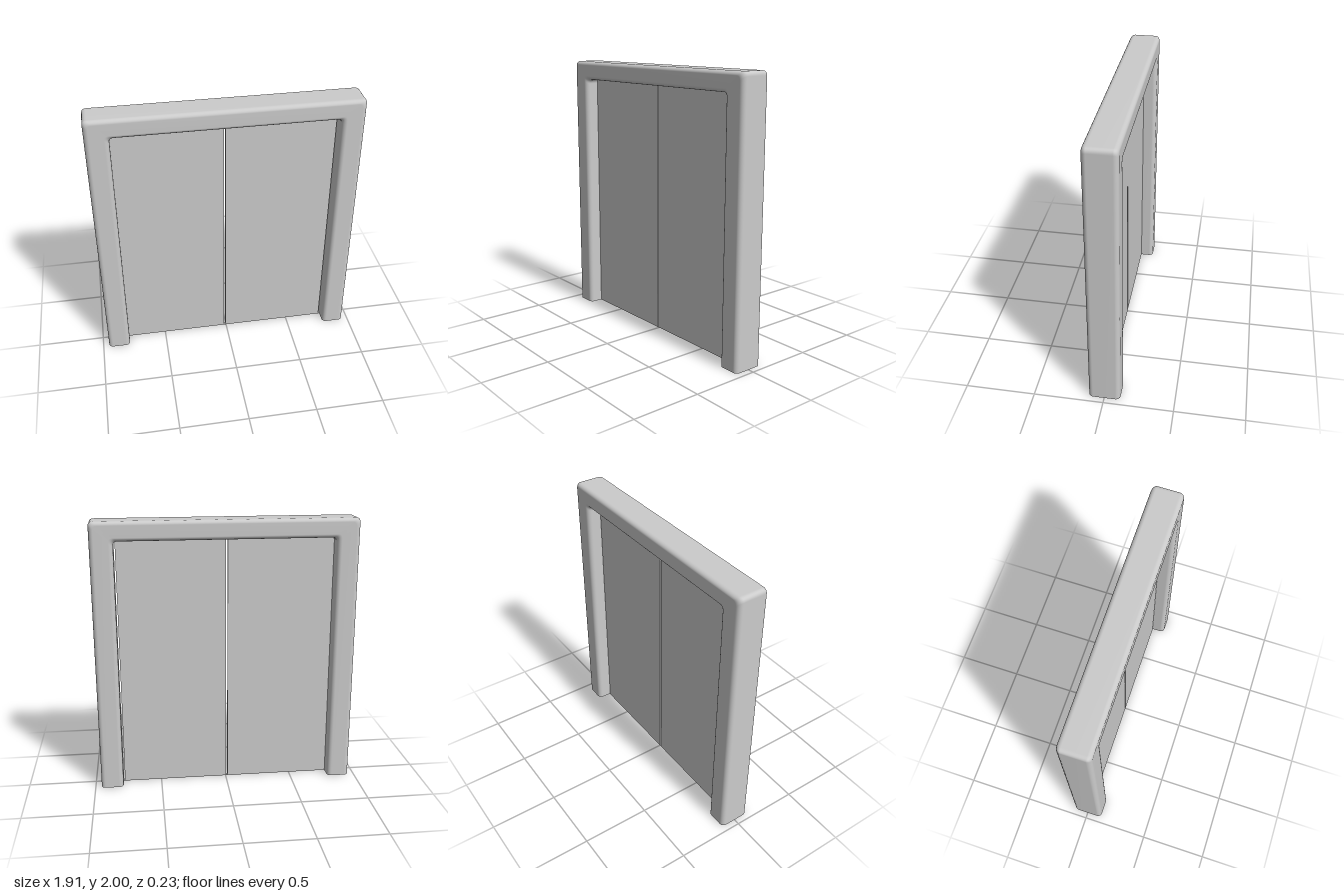
import * as THREE from 'three';

const HALF_W = 0.955, HEIGHT = 2, HALF_D = 0.113;
const JAMB = 0.165, LINTEL = 0.14, ROUND = 0.033;

// Rounded rectangle cross-section: d runs from the outer edge to the opening, z is depth
function frameProfile(steps = 6) {
  const points = [];
  const corners = [[JAMB - ROUND, HALF_D - ROUND], [ROUND, HALF_D - ROUND],
    [ROUND, ROUND - HALF_D], [JAMB - ROUND, ROUND - HALF_D]];
  corners.forEach(([d, z], q) => {
    for (let i = 0; i <= steps; i++) {
      const a = (q + i / steps) * Math.PI / 2;
      points.push([d + ROUND * Math.cos(a), z + ROUND * Math.sin(a)]);
    }
  });
  return points;
}

// Path of one profile point: up the right jamb, round the corner, over and down
function framePath(d, steps = 5) {
  const x = HALF_W - d, y = HEIGHT - d * LINTEL / JAMB;
  const half = [[-x, 0]];
  for (let i = 0; i <= steps; i++) {
    const t = i / steps;
    half.push([-x + ROUND * t * t, y - ROUND * (1 - t) * (1 - t)]);
  }
  return [...half, ...half.slice().reverse().map(([px, py]) => [-px, py])];
}

// Sweep the cross-section around the doorway, open at the floor
function frameGeometry() {
  const profile = frameProfile(), n = profile.length;
  const paths = profile.map(([d]) => framePath(d));
  const stations = paths[0].length, positions = [], index = [];
  for (let s = 0; s < stations; s++) {
    for (let i = 0; i < n; i++) {
      positions.push(paths[i][s][0], paths[i][s][1], profile[i][1]);
      if (s === stations - 1) continue;
      const a = s * n + i, c = s * n + (i + 1) % n;
      index.push(a, a + n, c, c, a + n, c + n);
    }
  }
  const geometry = new THREE.BufferGeometry();
  geometry.setAttribute('position', new THREE.Float32BufferAttribute(positions, 3));
  geometry.setIndex(index);
  geometry.computeVertexNormals();
  return geometry;
}

export function createModel() {
  const group = new THREE.Group();
  const grey = new THREE.MeshStandardMaterial({ color: 0xcccccc });
  const open = new THREE.MeshStandardMaterial({ color: 0xcccccc, side: THREE.DoubleSide });

  const frame = new THREE.Mesh(frameGeometry(), open);
  frame.name = 'doorFrame';
  group.add(frame);

  const slab = (name, x0, x1, y0, y1, depth) => {
    const mesh = new THREE.Mesh(new THREE.BoxGeometry(x1 - x0, y1 - y0, depth), grey);
    mesh.position.set((x0 + x1) / 2, (y0 + y1) / 2, 0);
    mesh.name = name;
    group.add(mesh);
  };
  // Two thin sliding panels with a narrow gap between them
  slab('rightDoorPanel', -0.8, -0.016, 0, 1.875, 0.026);
  slab('leftDoorPanel', -0.004, 0.78, 0, 1.875, 0.026);
  // Low track under the panels
  slab('floorTrack', -0.86, 0.86, 0, 0.004, 0.026);

  return group;
}
